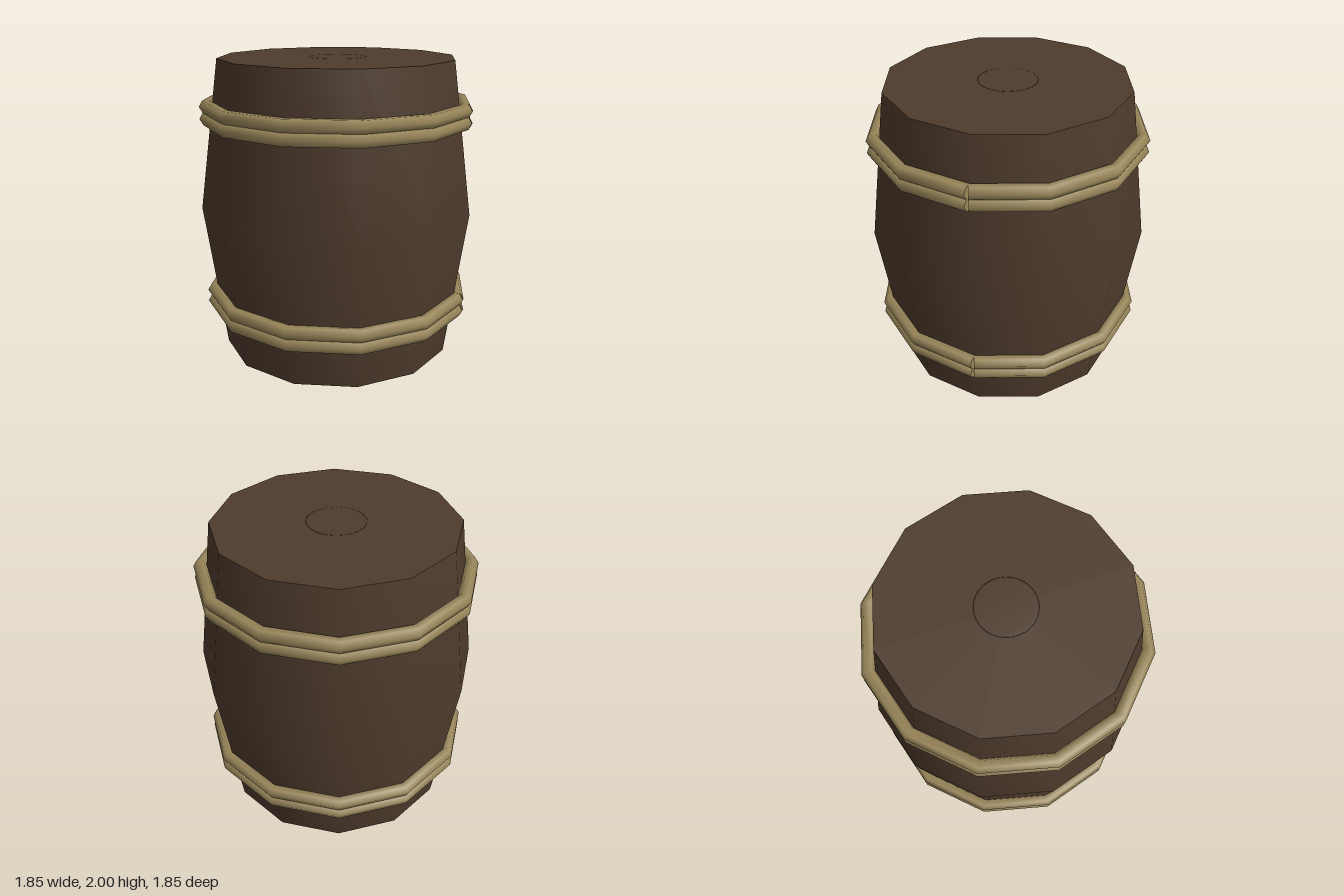
import * as THREE from 'three';

const SIDES = 12;
const wood = new THREE.MeshStandardMaterial({ color: 0x4e3b2d });
wood.name = 'dark wood';
const brass = new THREE.MeshStandardMaterial({ color: 0x9a875a });
brass.name = 'dull brass';

function addMesh(parent, name, geometry, material) {
  const mesh = new THREE.Mesh(geometry, material);
  mesh.name = name;
  parent.add(mesh);
  return mesh;
}

// A hexagonal rod bent into a twelve-sided ring, its two square-cut ends meeting at +x
function makeHoop(name, y) {
  const R = 0.868, r = 0.046, cut = Math.PI / SIDES;
  const hoop = new THREE.Group();
  hoop.name = name;
  hoop.position.y = y;

  const ring = new THREE.TorusGeometry(R, r, 6, SIDES).rotateX(Math.PI / 2);
  const pos = ring.attributes.position;
  for (let j = 0; j <= 6; j++) {
    for (const [i, sign] of [[0, 1], [SIDES, -1]]) {
      const k = j * (SIDES + 1) + i;
      const d = pos.getX(k) - R;
      pos.setXYZ(k, R + d * Math.cos(cut), pos.getY(k), sign * d * Math.sin(cut));
    }
  }
  addMesh(hoop, 'hoopRod', ring, brass);

  // flat ends of the rod
  for (const sign of [1, -1]) {
    const end = new THREE.CircleGeometry(r, 6);
    if (sign > 0) end.rotateY(Math.PI);
    const cap = addMesh(hoop, 'hoopEnd', end, brass);
    cap.position.x = R;
    cap.rotation.y = -sign * cut;
  }
  return hoop;
}

export function createModel() {
  const barrel = new THREE.Group();
  barrel.name = 'barrel';
  const rim = 0.787, belly = 0.925, top = 1.996;

  // bulging wall
  const profile = [[rim, 0], [belly, 1], [rim, top]].map(p => new THREE.Vector2(...p));
  addMesh(barrel, 'wall', new THREE.LatheGeometry(profile, SIDES), wood);

  // flat lid and base
  const lid = addMesh(barrel, 'lid', new THREE.CircleGeometry(rim, SIDES).rotateX(-Math.PI / 2), wood);
  lid.position.y = top;
  addMesh(barrel, 'base', new THREE.CircleGeometry(rim, SIDES).rotateX(Math.PI / 2), wood);

  // shallow boss in the middle of the lid
  const dome = new THREE.SphereGeometry(0.19, 32, 8, 0, Math.PI * 2, 0, Math.PI / 2);
  dome.scale(1, (2 - top) / 0.19, 1);
  addMesh(barrel, 'lidBoss', dome, wood).position.y = top;

  // two pairs of hoops
  const heights = { lowerHoop: 0.32, lowerMiddleHoop: 0.4, upperMiddleHoop: 1.605, upperHoop: 1.685 };
  for (const [name, y] of Object.entries(heights)) barrel.add(makeHoop(name, y));

  return barrel;
}
